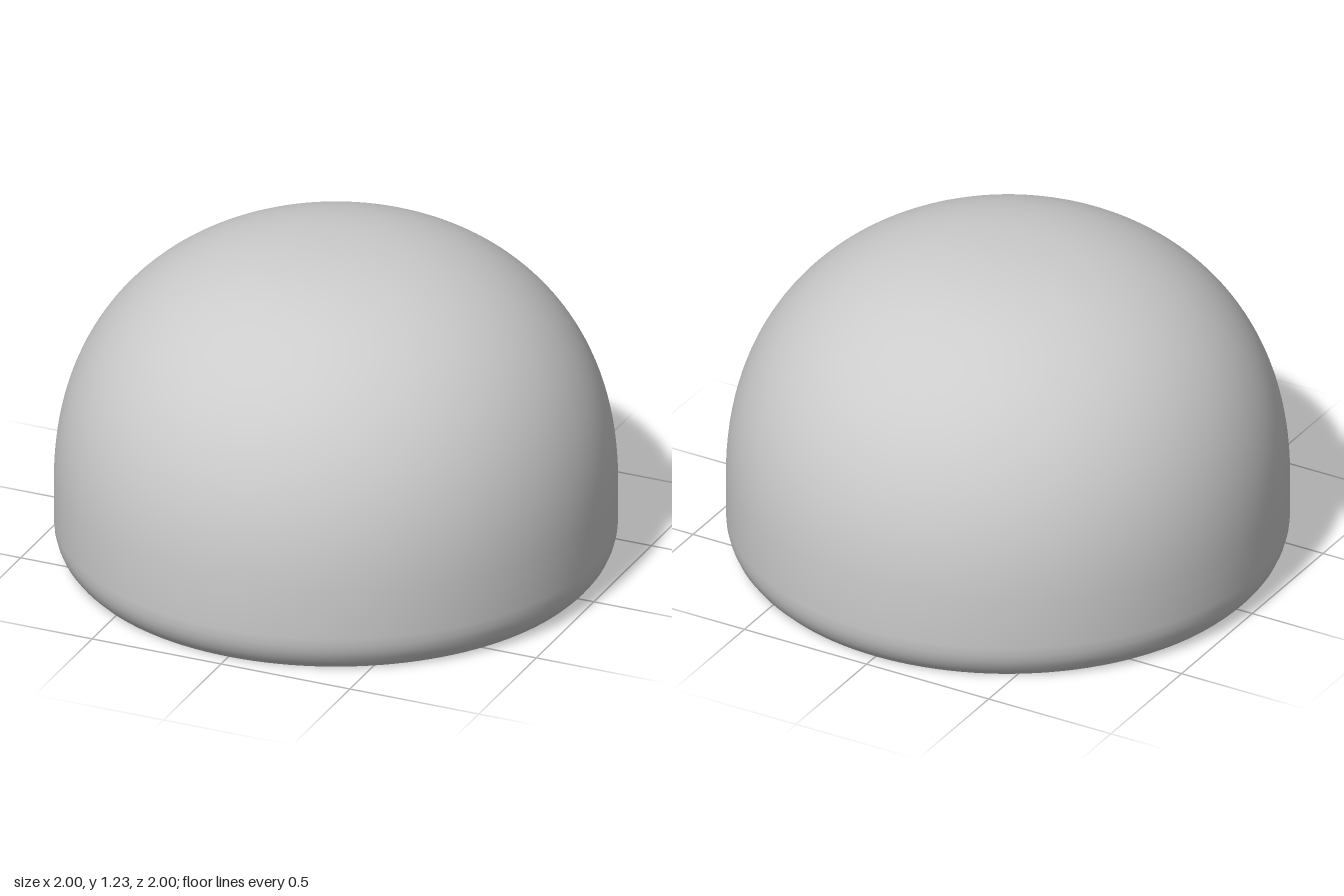
import * as THREE from 'three';
import { toCreasedNormals } from 'three/addons/utils/BufferGeometryUtils.js';

const material = new THREE.MeshStandardMaterial({ color: 0xcccccc });

function lathe(name, points) {
  const geometry = new THREE.LatheGeometry(points.map(([r, y]) => new THREE.Vector2(r, y)), 128);
  const mesh = new THREE.Mesh(toCreasedNormals(geometry, 0.4), material);
  mesh.name = name;
  return mesh;
}

// Flat bar running between two points
function bar(name, from, to, width, depth) {
  const a = new THREE.Vector3(...from), b = new THREE.Vector3(...to);
  const mesh = new THREE.Mesh(new THREE.BoxGeometry(width, depth, a.distanceTo(b)), material);
  mesh.name = name;
  mesh.position.copy(a).add(b).multiplyScalar(0.5);
  mesh.lookAt(b);
  return mesh;
}

export function createModel() {
  const model = new THREE.Group();
  model.name = 'domedCap';

  // Outer skin: rounded foot, short straight wall, flattened dome
  const outer = [[0.935, 0], [0.958, 0.022], [0.976, 0.046], [0.989, 0.075], [0.997, 0.105], [1, 0.14]];
  const base = 0.26, height = 0.97, power = 2 / 2.28;
  const steps = 40;
  for (let i = 0; i <= steps; i++) {
    const t = (i / steps) * Math.PI / 2;
    const r = i === steps ? 0 : Math.cos(t) ** power;
    outer.push([r, base + height * Math.sin(t) ** power]);
  }
  model.add(lathe('domeShell', outer));

  // Cavity: small flat ceiling, sloping roof, straight wall, retaining grooves and mouth
  model.add(lathe('cavity', [
    [0, 1.07], [0.45, 1.07], [0.88, 0.61], [0.88, 0.19],
    [0.893, 0.18], [0.893, 0.15], [0.886, 0.143],
    [0.886, 0.13], [0.898, 0.118], [0.898, 0.09],
    [0.892, 0.08], [0.892, 0.07], [0.905, 0.055],
    [0.905, 0], [0.935, 0],
  ]));

  // Narrow rib lying on the sloping roof
  model.add(bar('roofRib', [0.82, 0.675, 0.05], [0.47, 1.05, 0.05], 0.12, 0.06));

  return model;
}
